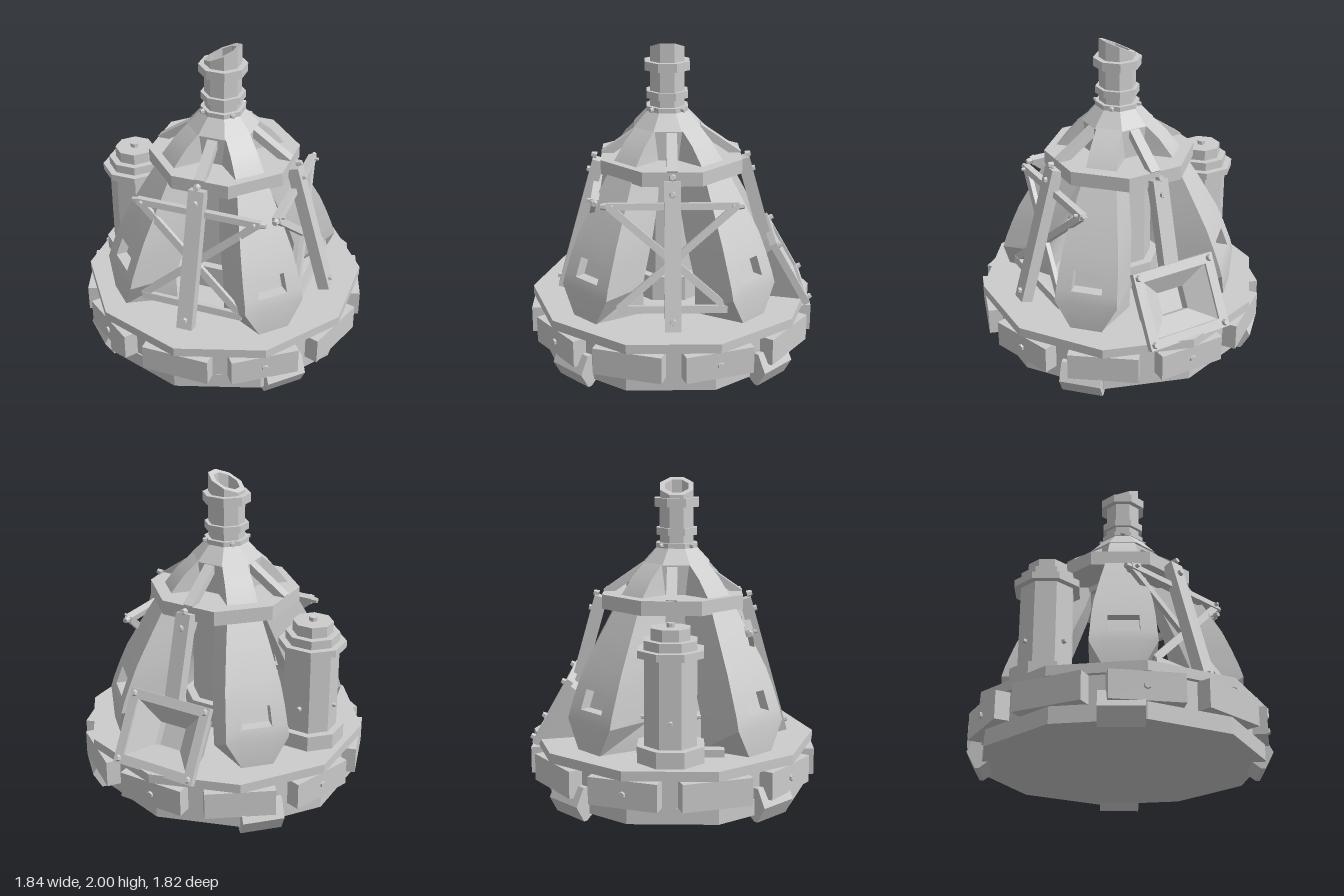
import * as THREE from 'three';
import { toCreasedNormals } from 'three/addons/utils/BufferGeometryUtils.js';

const metal = new THREE.MeshStandardMaterial({ color: 0xcccccc, side: THREE.DoubleSide });
metal.name = 'plain grey metal';

function add(parent, name, geo, x = 0, y = 0, z = 0) {
  const mesh = new THREE.Mesh(geo, metal);
  mesh.name = name;
  mesh.position.set(x, y, z);
  parent.add(mesh);
  return mesh;
}

function pivot(parent, name, angle) {
  const g = new THREE.Group();
  g.name = name;
  g.rotation.order = 'YXZ';
  g.rotation.y = angle;
  parent.add(g);
  return g;
}

const box = (w, h, d) => new THREE.BoxGeometry(w, h, d);

// Faceted prism between two heights; turn rotates it about y
function prism(parent, name, n, y0, y1, r0, r1 = r0, turn = Math.PI / n, x = 0, z = 0) {
  const geo = toCreasedNormals(new THREE.CylinderGeometry(r1, r0, y1 - y0, n).rotateY(turn), 0.3);
  return add(parent, name, geo, x, (y0 + y1) / 2, z);
}

// Hexagonal bolt head facing local +z
function bolt(parent, x, y, z, r = 0.024) {
  const geo = new THREE.CylinderGeometry(r * 0.7, r, 0.035, 6).rotateX(Math.PI / 2);
  return add(parent, 'bolt', toCreasedNormals(geo, 0.3), x, y, z);
}

// Flat bar between two points in a local xy plane
function bar(parent, name, x0, y0, x1, y1, w, d, z) {
  const m = add(parent, name, box(Math.hypot(x1 - x0, y1 - y0), w, d), (x0 + x1) / 2, (y0 + y1) / 2, z);
  m.rotation.z = Math.atan2(y1 - y0, x1 - x0);
}

// Open four-sided tapering duct, wide end at +z
function duct(w, h, depth, taper) {
  const geo = new THREE.CylinderGeometry(Math.SQRT2, taper * Math.SQRT2, depth, 4, 1, true);
  return toCreasedNormals(geo.rotateY(Math.PI / 4).rotateX(Math.PI / 2).scale(w / 2, h / 2, 1), 0.3);
}

// Curved hull lobe facing +z, with a recessed window in its outer face
function lobeGeometry() {
  // height, outer radius, outer width, depth, inner width
  const rows = [
    [0.36, 0.735, 0.19, 0.32, 0.38], [0.55, 0.735, 0.395, 0.31, 0.395], [0.62, 0.715, 0.385, 0.31, 0.385],
    [0.74, 0.67, 0.37, 0.31, 0.37], [0.86, 0.62, 0.345, 0.31, 0.345], [1.06, 0.51, 0.275, 0.28, 0.275],
    [1.2, 0.43, 0.22, 0.24, 0.22], [1.3, 0.37, 0.19, 0.22, 0.19], [1.4, 0.29, 0.175, 0.2, 0.175],
    [1.48, 0.2, 0.16, 0.15, 0.16],
  ].map(([y, r, w, d, wi]) => {
    const h = w / 2, k = h * 0.5, b = wi / 2;
    return [[-b, r - d], [-h, r], [-k, r], [k, r], [h, r], [b, r - d]].map(([x, z]) => [x, y, z]);
  });
  const pos = [];
  const quad = (a, b, c, d) => pos.push(...a, ...b, ...c, ...a, ...c, ...d);
  for (let i = 0; i < rows.length - 1; i++) {
    for (let j = 0; j < 6; j++) {
      const n = (j + 1) % 6;
      const q = [rows[i][j], rows[i][n], rows[i + 1][n], rows[i + 1][j]];
      if (i === 2 && j === 2) {
        const inner = q.map(([x, y, z]) => [x, y, z - 0.07]);
        quad(...inner);
        for (let e = 0; e < 4; e++) quad(q[e], q[(e + 1) % 4], inner[(e + 1) % 4], inner[e]);
      } else quad(...q);
    }
  }
  const top = rows[rows.length - 1];
  quad(top[0], top[1], top[4], top[5]);
  const geo = new THREE.BufferGeometry();
  geo.setAttribute('position', new THREE.Float32BufferAttribute(pos, 3));
  return toCreasedNormals(geo, 0.4);
}

export function createModel() {
  const model = new THREE.Group();
  model.name = 'capsule';

  // Ten-sided base with bumper blocks, every second one bolted
  prism(model, 'baseDeck', 10, 0.31, 0.37, 0.91, 0.91, 0);
  prism(model, 'baseWall', 10, 0.14, 0.31, 0.88, 0.88, 0);
  prism(model, 'baseUnderside', 10, 0.04, 0.14, 0.87, 0.87, 0, -0.012, 0.015);
  for (let i = 0; i < 10; i++) {
    const g = pivot(model, 'bumper', i * Math.PI / 5);
    add(g, 'bumperBlock', box(0.43, 0.17, 0.14), 0, 0.225, 0.83);
    if (i % 2) bolt(g, 0, 0.225, 0.895, 0.027);
  }

  // Pointed feet and hull lobes on the diagonals
  const foot = new THREE.Shape();
  [[0.77, 0.05], [0.835, 0], [0.86, 0], [0.915, 0.1], [0.86, 0.21], [0.77, 0.21]].forEach(([x, y], i) =>
    i ? foot.lineTo(x, y) : foot.moveTo(x, y));
  const footGeo = new THREE.ExtrudeGeometry(foot, { depth: 0.26, bevelEnabled: false })
    .translate(0, 0, -0.13).rotateY(-Math.PI / 2);
  const hull = pivot(model, 'hull', 0);
  hull.position.z = 0.02;
  const lobeGeo = lobeGeometry();
  for (let i = 0; i < 4; i++) {
    const angle = Math.PI / 4 + i * Math.PI / 2;
    add(pivot(model, 'corner', angle), 'foot', footGeo);
    add(pivot(hull, 'hullCorner', angle), 'hullLobe', lobeGeo);
  }

  // Central column and octagonal collar plate
  prism(hull, 'column', 8, 0.36, 1.48, 0.215);
  prism(hull, 'columnLowerFlange', 8, 0.36, 0.53, 0.27);
  prism(hull, 'columnUpperFlange', 8, 1.16, 1.2, 0.25);
  prism(model, 'collarPlate', 8, 1.2, 1.29, 0.475);

  // Cone, neck rings and slanted hollow pipe
  const neck = new THREE.Group();
  neck.name = 'neck';
  neck.position.z = 0.025;
  model.add(neck);
  [
    ['cone', 1.475, 1.575, 0.225, 0.13], ['neckFlange', 1.57, 1.6, 0.14, 0.14],
    ['neckBase', 1.6, 1.65, 0.115, 0.115], ['lowerRing', 1.65, 1.695, 0.138, 0.138],
    ['neckTube', 1.69, 1.84, 0.115, 0.115], ['upperRing', 1.825, 1.88, 0.15, 0.15],
  ].forEach(([name, y0, y1, r0, r1]) => prism(neck, name, 8, y0, y1, r0, r1));
  for (let i = 0; i < 4; i++) {
    const g = pivot(neck, 'neckBolts', Math.PI / 4 + i * Math.PI / 2);
    bolt(g, 0, 1.585, 0.135, 0.018);
  }
  const profile = [[0.08, 1.86], [0.114, 1.86], [0.114, 1.95], [0.08, 1.95], [0.08, 1.86]];
  const pipe = new THREE.LatheGeometry(profile.map(([x, y]) => new THREE.Vector2(x, y)), 8).rotateY(Math.PI / 8);
  const p = pipe.attributes.position;
  for (let i = 0; i < p.count; i++) if (p.getY(i) > 1.9) p.setY(i, 1.95 + p.getX(i) * 0.475);
  add(neck, 'slantedPipe', toCreasedNormals(pipe, 0.3));

  // Spokes, legs and cross trusses: front, left, back, right
  for (let i = 0; i < 4; i++) {
    const g = pivot(model, 'side', i * Math.PI / 2);
    const spoke = add(g, 'spoke', box(0.065, 0.05, 0.31), 0, 1.365, 0.3);
    spoke.rotation.x = 0.61;
    if (i === 3) continue;
    const frame = pivot(g, 'legFrame', 0);
    frame.rotation.x = -0.275;
    frame.position.set(0, 0.82, 0.58);
    bolt(frame, 0, 0.46, 0.035);
    bolt(frame, 0, 0.36, 0.04);
    if (i === 2) {
      add(frame, 'backLeg', box(0.1, 0.6, 0.08), 0, 0.15, 0);
      continue;
    }
    add(frame, 'leg', box(0.1, 0.9, 0.075), 0, -0.01, 0);
    bolt(frame, 0, -0.4, 0.04);
    const truss = pivot(g, 'truss', 0);
    truss.rotation.x = -0.2;
    truss.position.set(0, 0.78, 0.535);
    bar(truss, 'trussTop', -0.4, 0.315, 0.4, 0.315, 0.04, 0.05, 0);
    bar(truss, 'trussBottom', -0.33, -0.315, 0.33, -0.315, 0.045, 0.035, 0);
    for (const s of [-1, 1]) {
      bar(truss, 'trussDiagonal', -0.38 * s, 0.31, 0.33 * s, -0.31, 0.045, 0.03, 0);
      bolt(truss, 0.415 * s, 0.315, 0).rotation.y = s * Math.PI / 2;
      bolt(truss, 0.365 * s, 0.315, 0.03, 0.014);
    }
  }

  // Octagonal tank on the right side
  const tank = new THREE.Group();
  tank.name = 'tank';
  tank.position.x = -0.625;
  model.add(tank);
  [
    ['tankFoot', 0.36, 0.47, 0.215], ['tankBody', 0.47, 1.0, 0.168], ['tankFlange', 1.0, 1.045, 0.21],
    ['tankCap', 1.045, 1.1, 0.168], ['tankLid', 1.1, 1.17, 0.125], ['tankKnob', 1.17, 1.195, 0.026],
  ].forEach(([name, y0, y1, r]) => prism(tank, name, 8, y0, y1, r));
  for (let i = 0; i < 3; i++) bolt(pivot(tank, 'tankBolts', -Math.PI + i * Math.PI / 2), 0, 0.63, 0.16, 0.018);
  add(model, 'tankBracket', box(0.07, 0.05, 0.16), -0.56, 0.39, 0.24);

  // Tilted framed intake at the back
  const intake = pivot(model, 'intake', Math.PI);
  intake.position.set(0, 0.555, -0.75);
  intake.rotation.x = -0.51;
  for (const s of [-1, 1]) {
    add(intake, 'intakeFrameRail', box(0.56, 0.06, 0.045), 0, 0.205 * s, 0);
    add(intake, 'intakeFramePost', box(0.06, 0.47, 0.045), 0.25 * s, 0, 0);
    for (const t of [-1, 1]) bolt(intake, 0.25 * s, 0.205 * t, 0.03);
  }
  add(intake, 'intakeFunnel', duct(0.45, 0.36, 0.11, 0.4), 0, 0, -0.045);
  add(intake, 'intakeBack', box(0.2, 0.16, 0.01), 0, 0, -0.17);
  add(intake, 'intakeThroat', duct(0.18, 0.144, 0.07, 1), 0, 0, -0.135);
  add(intake, 'intakeShell', duct(0.5, 0.4, 0.25, 0.7), 0, 0, -0.13);

  return model;
}
